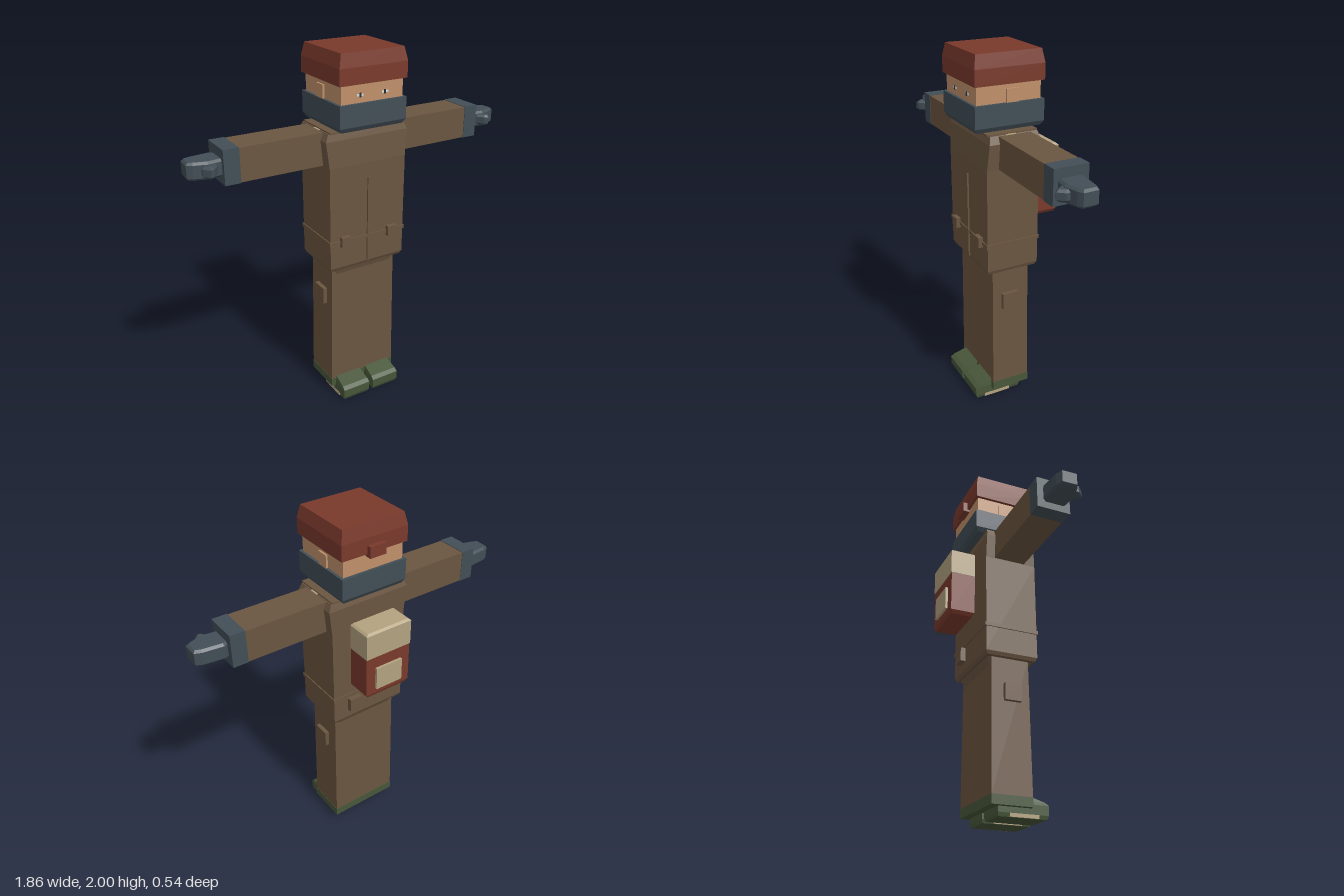
import * as THREE from 'three';

const mat = (name, color) => {
  const m = new THREE.MeshStandardMaterial({ color });
  m.name = name;
  return m;
};

export function createModel() {
  const cloth = mat('brown cloth', 0x6b5641);
  const red = mat('rust red', 0x7a3a2c);
  const slate = mat('slate blue', 0x424e56);
  const skin = mat('skin', 0xc0906a);
  const tan = mat('tan canvas', 0xb3a27f);
  const green = mat('boot green', 0x48573a);
  const white = mat('eye white', 0xd8d8d4);
  const dark = mat('dark', 0x2b2f36);
  const model = new THREE.Group();
  model.name = 'figure';

  const add = (name, geometry, material) => {
    const mesh = new THREE.Mesh(geometry, material);
    mesh.name = name;
    model.add(mesh);
    return mesh;
  };

  // Box given by its limits on each axis
  const box = (name, material, x0, x1, y0, y1, z0, z1) => {
    const g = new THREE.BoxGeometry(x1 - x0, y1 - y0, z1 - z0);
    g.translate((x0 + x1) / 2, (y0 + y1) / 2, (z0 + z1) / 2);
    return add(name, g, material);
  };

  // Faceted solid through rectangular rings [y, half width, back z, front z]
  const loft = (name, material, rings, cx = 0) => {
    const loops = rings.map(([y, w, z0, z1]) => [
      [cx - w, y, z1], [cx + w, y, z1], [cx + w, y, z0], [cx - w, y, z0]]);
    const pos = [];
    const quad = (a, b, c, d) => pos.push(...a, ...b, ...c, ...a, ...c, ...d);
    for (let r = 0; r < loops.length - 1; r++)
      for (let i = 0; i < 4; i++) {
        const j = (i + 1) % 4;
        quad(loops[r][i], loops[r][j], loops[r + 1][j], loops[r + 1][i]);
      }
    const [a, b, c, d] = loops[0];
    quad(d, c, b, a);
    quad(...loops[loops.length - 1]);
    const g = new THREE.BufferGeometry();
    g.setAttribute('position', new THREE.Float32BufferAttribute(pos, 3));
    g.computeVertexNormals();
    return add(name, g, material);
  };

  // Flat slab from an outline of [x, z] points, with bevelled rims
  const slab = (name, material, outline, y0, y1) => {
    const bevel = 0.012;
    const shape = new THREE.Shape(outline.map(([x, z]) => new THREE.Vector2(x, z)));
    const g = new THREE.ExtrudeGeometry(shape, {
      depth: y1 - y0 - 2 * bevel, bevelEnabled: true, bevelSegments: 1,
      bevelThickness: bevel, bevelSize: bevel, bevelOffset: -bevel });
    g.rotateX(Math.PI / 2);
    g.translate(0, y1 - bevel, 0);
    return add(name, g, material);
  };

  // Head, scarf and cap
  box('head', skin, -0.18, 0.18, 1.7, 1.9, -0.12, 0.24);
  loft('scarf', slate, [
    [1.61, 0.18, -0.12, 0.24], [1.635, 0.195, -0.135, 0.255], [1.75, 0.195, -0.135, 0.255]]);
  loft('cap', red, [
    [1.845, 0.197, -0.135, 0.255], [1.93, 0.197, -0.135, 0.255], [2, 0.182, -0.122, 0.242]]);
  box('capBuckle', red, -0.048, 0.048, 1.83, 1.89, -0.16, -0.12);
  box('neck', slate, -0.07, 0.07, 1.59, 1.63, -0.02, 0.12);

  // Jacket
  loft('jacket', cloth, [
    [0.83, 0.222, -0.08, 0.2], [0.85, 0.23, -0.09, 0.21], [1.42, 0.23, -0.09, 0.21],
    [1.56, 0.244, -0.09, 0.2], [1.6, 0.226, -0.078, 0.19]]);
  box('collar', cloth, -0.22, 0.22, 1.598, 1.607, -0.08, 0.2);
  box('belt', cloth, -0.236, 0.236, 0.99, 1.01, -0.096, 0.216);
  box('zip', cloth, -0.005, 0.005, 0.85, 1.34, 0.2, 0.219);
  loft('jacketLining', cloth, [
    [0.79, 0.17, -0.05, 0.17], [0.835, 0.2, -0.068, 0.185]]);
  box('backPocket', cloth, 0.065, 0.14, 0.9, 0.98, -0.12, -0.08);

  // Trousers in one block with a boot-top band
  loft('trousers', cloth, [[0.1, 0.208, -0.053, 0.171], [0.84, 0.2, -0.048, 0.167]]);
  box('bootTops', green, -0.21, 0.21, 0.05, 0.1, -0.055, 0.172);

  // Backpack
  loft('packBody', red, [
    [1.08, 0.125, -0.25, -0.13], [1.1, 0.138, -0.258, -0.12], [1.33, 0.138, -0.258, -0.12]]);
  loft('packLid', tan, [
    [1.33, 0.14, -0.262, -0.12], [1.47, 0.14, -0.262, -0.12], [1.48, 0.128, -0.25, -0.125]]);
  box('packPocket', tan, -0.082, 0.082, 1.13, 1.26, -0.272, -0.25);

  // Paired parts
  for (const [side, s] of [['left', 1], ['right', -1]]) {
    const name = (part) => side + part;
    const sideBox = (part, m, x0, x1, ...rest) =>
      box(name(part), m, Math.min(s * x0, s * x1), Math.max(s * x0, s * x1), ...rest);
    const sideSlab = (part, m, outline, y0, y1) =>
      slab(name(part), m, outline.map(([x, z]) => [s * x, z]), y0, y1);

    // Face
    sideBox('Ear', skin, 0.17, 0.191, 1.75, 1.82, 0.01, 0.078);
    sideBox('Eye', white, 0.055, 0.092, 1.783, 1.795, 0.238, 0.242);
    sideBox('Pupil', dark, 0.067, 0.077, 1.778, 1.8, 0.238, 0.244);

    // Arm
    sideBox('Sleeve', cloth, 0.2, 0.69, 1.423, 1.597, -0.038, 0.143);
    sideBox('Cuff', slate, 0.68, 0.762, 1.421, 1.6, -0.04, 0.146);
    sideBox('ShoulderPatch', tan, 0.2, 0.23, 1.59, 1.601, 0.045, 0.1);
    sideSlab('Hand', slate, [[0.75, 0], [0.78, -0.012], [0.89, 0], [0.925, 0.015],
      [0.928, 0.095], [0.9, 0.11], [0.83, 0.13], [0.75, 0.12]], 1.46, 1.55);
    sideSlab('Thumb', slate, [[0.78, 0.08], [0.86, 0.09], [0.865, 0.14],
      [0.835, 0.175], [0.815, 0.165], [0.78, 0.12]], 1.475, 1.535);

    // Pockets
    sideBox('FrontPocket', cloth, 0.117, 0.172, 0.975, 1.032, 0.2, 0.236);
    sideBox('ThighPocket', cloth, 0.19, 0.225, 0.59, 0.683, 0.02, 0.115);

    // Boot
    loft(name('Boot'), green, [
      [0, 0.08, -0.005, 0.26], [0.02, 0.085, -0.01, 0.27], [0.07, 0.085, -0.01, 0.272],
      [0.085, 0.083, -0.01, 0.25], [0.112, 0.078, -0.01, 0.165]], s * 0.098);
    sideBox('Sole', tan, 0.011, 0.185, 0.001, 0.02, 0.055, 0.215);
  }
  return model;
}
